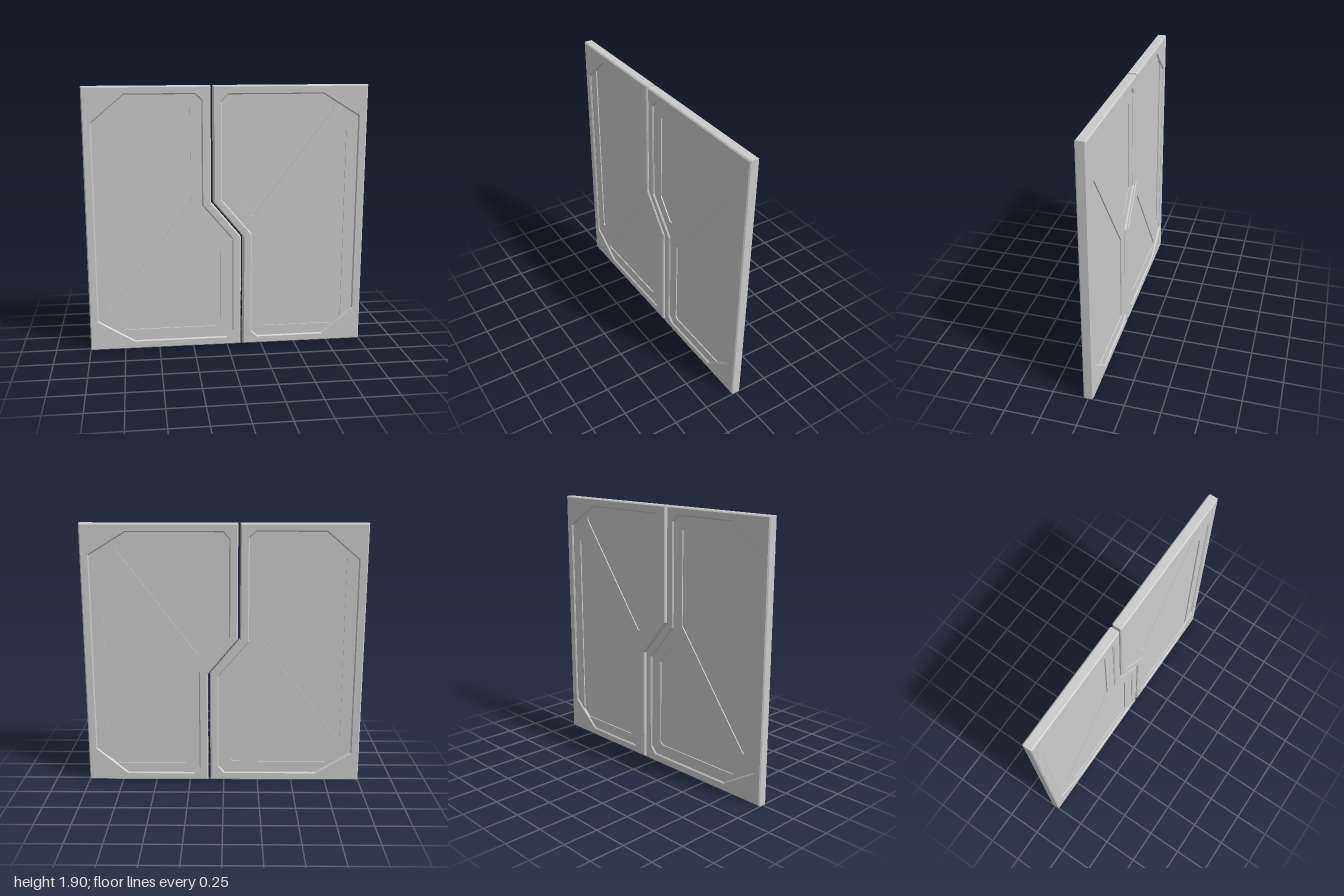
import * as THREE from 'three';

const material = new THREE.MeshStandardMaterial({ color: 0xcccccc });
const HEIGHT = 1.9;

// Half outlines of the left-hand leaf, seen from the front
const leafOutline = [[-1, 0], [0.1, 0], [0.1, 0.82], [-0.116, 1.08], [-0.116, 1.9], [-1, 1.9]];
const frameOpening = [
  [-0.937, 0.22], [-0.68, 0.062], [-0.005, 0.062], [0.038, 0.11], [0.038, 0.805],
  [-0.18, 1.06], [-0.18, 1.8], [-0.225, 1.842], [-0.71, 1.842], [-0.937, 1.65],
];
const panelOutline = [[-0.965, 0.03], [0.07, 0.03], [0.07, 0.815], [-0.148, 1.07], [-0.148, 1.87], [-0.965, 1.87]];
const upperPocket = [
  [-0.855, 0.33], [-0.845, 0.32], [-0.835, 0.325], [-0.26, 1.09], [-0.26, 1.75], [-0.28, 1.768], [-0.855, 1.768],
];
const lowerPocket = [
  [-0.76, 0.165], [-0.755, 0.145], [-0.07, 0.145], [-0.047, 0.165], [-0.047, 0.78],
  [-0.165, 0.925], [-0.185, 0.925], [-0.2, 0.915],
];

const toPoints = (list) => list.map(([x, y]) => new THREE.Vector2(x, y));

// Slab centred on z = 0, with optional openings and chamfered edges
function slab(name, outline, openings, halfDepth, bevel = 0) {
  const shape = new THREE.Shape(toPoints(outline));
  for (const opening of openings) shape.holes.push(new THREE.Path(toPoints(opening)));
  const depth = 2 * (halfDepth - bevel);
  const geometry = new THREE.ExtrudeGeometry(shape, {
    depth,
    bevelEnabled: bevel > 0,
    bevelThickness: bevel,
    bevelSize: bevel,
    bevelOffset: 0 - bevel,
    bevelSegments: 1,
  });
  // With the offset, the sides keep the drawn outline and the faces step back
  geometry.translate(0, 0, -depth / 2);
  const mesh = new THREE.Mesh(geometry, material);
  mesh.name = name;
  return mesh;
}

function createLeaf(name) {
  const leaf = new THREE.Group();
  leaf.name = name;
  leaf.add(
    slab('frame', leafOutline, [frameOpening], 0.035, 0.008),
    slab('bracedPanel', panelOutline, [upperPocket, lowerPocket], 0.024),
    slab('recessedCore', panelOutline.map(([x, y]) => [x * 0.995, 0.95 + (y - 0.95) * 0.995]), [], 0.016),
  );
  return leaf;
}

export function createModel() {
  const model = new THREE.Group();
  model.name = 'doublePanelDoor';
  const rightLeaf = createLeaf('rightLeaf');
  // The other leaf is the same one turned half a turn in its own plane
  const leftLeaf = createLeaf('leftLeaf');
  leftLeaf.rotation.z = Math.PI;
  leftLeaf.position.y = HEIGHT;
  model.add(rightLeaf, leftLeaf);
  return model;
}
